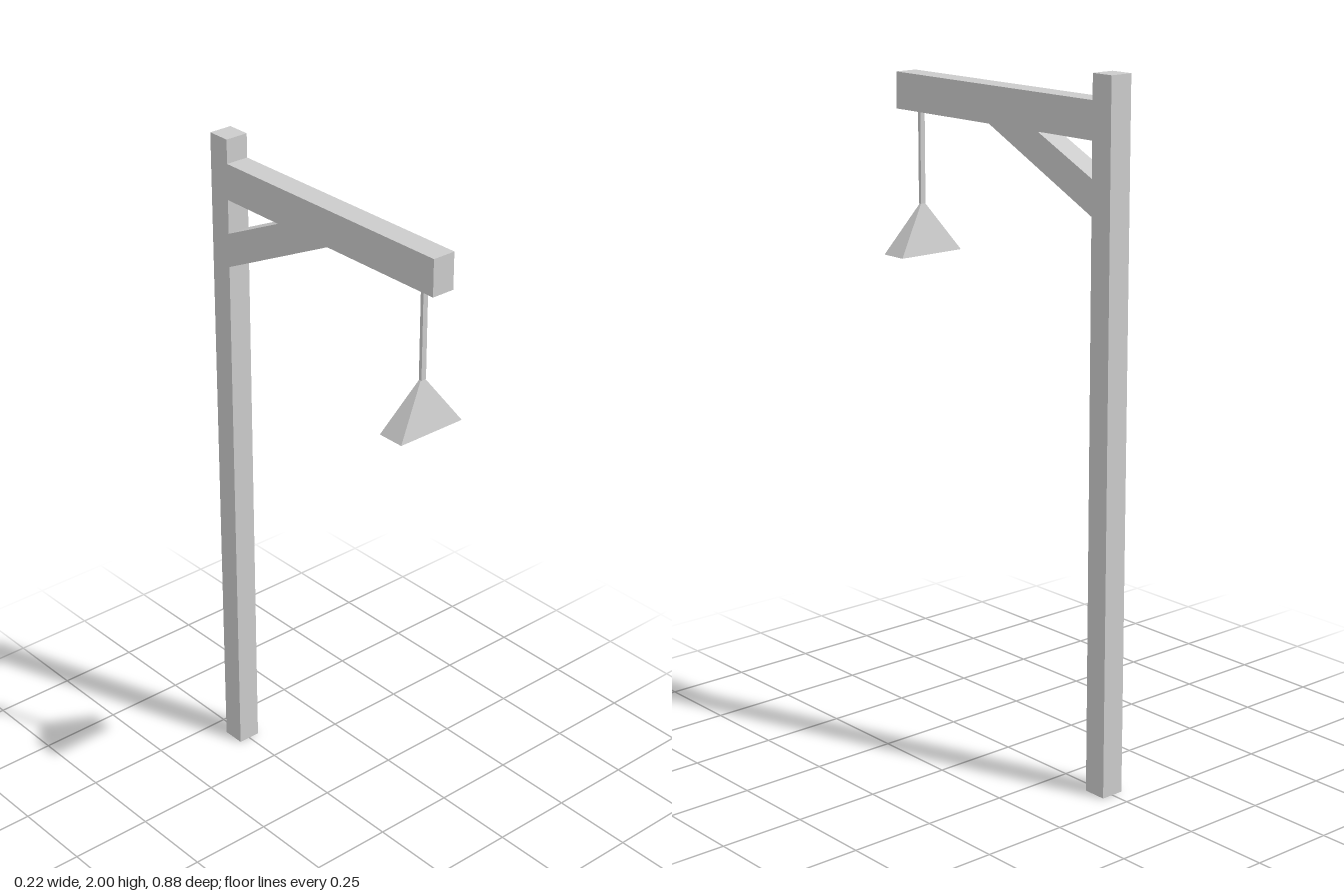
import * as THREE from 'three';

export function createModel() {
  const group = new THREE.Group();
  const material = new THREE.MeshStandardMaterial({ color: 0xcccccc, flatShading: true });
  const width = 0.07;

  const add = (name, geometry, x = 0, y = 0, z = 0) => {
    const mesh = new THREE.Mesh(geometry, material);
    mesh.name = name;
    mesh.position.set(x, y, z);
    group.add(mesh);
    return mesh;
  };

  // Side profile given as [z, y] points, extruded across the width
  const plank = (name, points) => {
    const shape = new THREE.Shape(points.map(([z, y]) => new THREE.Vector2(z, y)));
    const geometry = new THREE.ExtrudeGeometry(shape, { depth: width, bevelEnabled: false });
    geometry.translate(0, 0, -width / 2).rotateY(-Math.PI / 2);
    return add(name, geometry);
  };

  // Upright post
  add('post', new THREE.BoxGeometry(width, 2, width), 0, 1, -0.407);

  // Horizontal arm and its diagonal brace, cut from one outline
  plank('armWithBrace', [
    [0.443, 1.93], [-0.372, 1.93], [-0.372, 1.825], [-0.16, 1.825],
    [-0.372, 1.725], [-0.372, 1.625], [0.04, 1.825], [0.443, 1.825],
  ]);

  // Hanging rod
  add('rod', new THREE.BoxGeometry(0.016, 0.27, 0.01), 0, 1.692, 0.375);

  // Four-sided lamp shade, closed underneath
  const shade = new THREE.CylinderGeometry(0.06 * Math.SQRT2, Math.SQRT2, 0.143, 4);
  shade.rotateY(Math.PI / 4).scale(0.108, 1, 0.041);
  add('lampShade', shade, 0, 1.4875, 0.374);

  return group;
}
